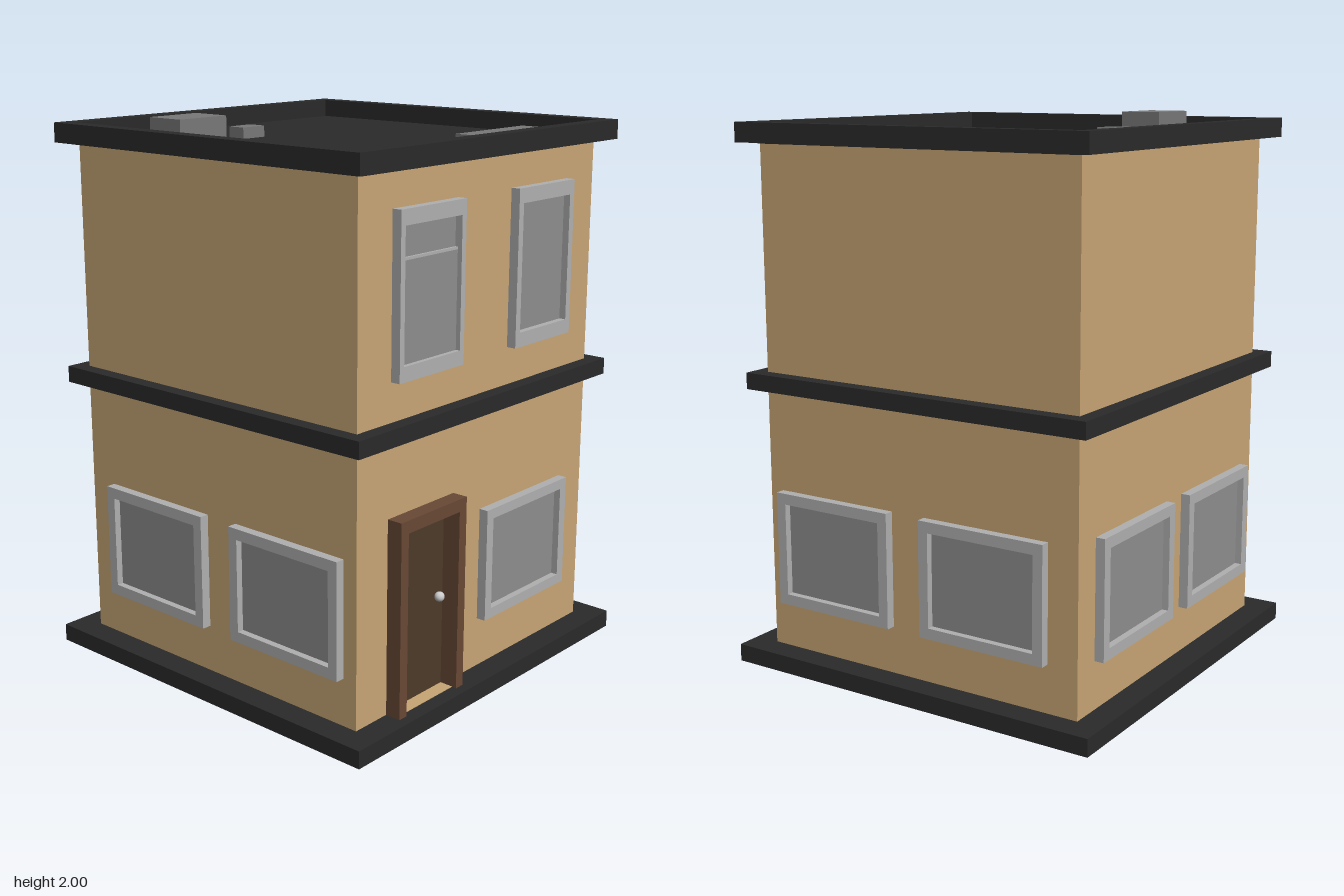
import * as THREE from 'three';

const mat = (color, side = THREE.FrontSide) => new THREE.MeshStandardMaterial({ color, side });
const WALL = mat(0xc8a675, THREE.DoubleSide);
const TRIM = mat(0x2a2a2a);
const FRAME = mat(0xb0b0b0);
const GLASS = mat(0x8e8e8e);
const VENT = mat(0x787878);
const DOOR_FRAME = mat(0x694936);
const DOOR = mat(0x4d3a29);
const KNOB = mat(0xcccccc);

const HALF = 0.65; // half width of the walls

function add(parent, name, geometry, material, x = 0, y = 0, z = 0) {
  const mesh = new THREE.Mesh(geometry, material);
  mesh.name = name;
  mesh.position.set(x, y, z);
  parent.add(mesh);
  return mesh;
}

// Box given by its minimum and maximum corners
function block(parent, name, material, [x0, y0, z0], [x1, y1, z1]) {
  const g = new THREE.BoxGeometry(x1 - x0, y1 - y0, z1 - z0);
  return add(parent, name, g, material, (x0 + x1) / 2, (y0 + y1) / 2, (z0 + z1) / 2);
}

function rect(x0, y0, x1, y1, Type = THREE.Shape) {
  const s = new Type();
  s.moveTo(x0, y0);
  s.lineTo(x1, y0);
  s.lineTo(x1, y1);
  s.lineTo(x0, y1);
  s.closePath();
  return s;
}

// Rectangular frame with an opening, extruded along z
function frameGeometry(w, h, tx, ty, depth) {
  const s = rect(-w / 2, -h / 2, w / 2, h / 2);
  s.holes.push(rect(-w / 2 + tx, -h / 2 + ty, w / 2 - tx, h / 2 - ty, THREE.Path));
  return new THREE.ExtrudeGeometry(s, { depth, bevelEnabled: false });
}

// Horizontal square band round the building
function band(parent, name, outer, inner, y0, y1) {
  const t = outer - inner;
  const g = frameGeometry(2 * outer, 2 * outer, t, t, y1 - y0).rotateX(-Math.PI / 2);
  return add(parent, name, g, TRIM, 0, y0, 0);
}

// Window on a wall plane: x is measured along the wall, z outwards
function windowUnit(side, x0, x1, y0, y1, tx, ty, split) {
  const g = new THREE.Group();
  g.name = 'window';
  const w = x1 - x0, h = y1 - y0;
  g.position.set((x0 + x1) / 2, (y0 + y1) / 2, HALF);
  add(g, 'windowFrame', frameGeometry(w, h, tx, ty, 0.05), FRAME, 0, 0, -0.015);
  const px = w / 2 - tx, py = h / 2 - ty;
  if (split === undefined) {
    block(g, 'windowPane', GLASS, [-px, -py, 0.001], [px, py, 0.01]);
  } else {
    // Two sashes, the lower one standing further forward
    const s = split - g.position.y;
    block(g, 'upperSash', GLASS, [-px, s, 0.001], [px, py, 0.008]);
    block(g, 'lowerSash', GLASS, [-px, -py, 0.001], [px, s - 0.006, 0.018]);
    block(g, 'sashRail', FRAME, [-px, s - 0.006, 0.001], [px, s + 0.003, 0.018]);
  }
  side.add(g);
}

function buildDoor() {
  const door = new THREE.Group();
  door.name = 'door';
  // Jambs and lintel in one outline, open at the bottom
  const s = new THREE.Shape();
  [[-0.495, 0], [-0.457, 0], [-0.457, 0.72], [-0.183, 0.72], [-0.183, 0],
    [-0.145, 0], [-0.145, 0.765], [-0.495, 0.765]]
    .forEach(([x, y], i) => (i ? s.lineTo(x, y) : s.moveTo(x, y)));
  s.closePath();
  add(door, 'doorFrame', new THREE.ExtrudeGeometry(s, { depth: 0.11, bevelEnabled: false }),
    DOOR_FRAME, 0, 0, 0.598);
  block(door, 'doorLeaf', DOOR, [-0.457, 0.05, 0.615], [-0.183, 0.72, 0.64]);
  block(door, 'doorSill', WALL, [-0.457, 0.055, 0.64], [-0.183, 0.067, 0.69]);
  add(door, 'doorKnob', new THREE.SphereGeometry(0.018, 16, 12), KNOB, -0.222, 0.41, 0.658);
  return door;
}

export function createModel() {
  const house = new THREE.Group();
  house.name = 'house';

  // Four thin walls; the front one is cut out for the door
  const sides = ['front', 'right', 'back', 'left'].map((name, i) => {
    const side = new THREE.Group();
    side.name = name + 'Side';
    side.rotation.y = i * Math.PI / 2;
    const shape = rect(-HALF, 0.03, HALF, 1.91);
    if (i === 0) shape.holes.push(rect(-0.475, 0.06, -0.165, 0.74, THREE.Path));
    add(side, 'wall', new THREE.ShapeGeometry(shape), WALL, 0, 0, HALF);
    house.add(side);
    return side;
  });
  const [front, plusX, back, minusX] = sides;

  // Plinth, storey band and roof with parapet
  band(house, 'plinth', 0.745, 0.645, 0.001, 0.065);
  band(house, 'storeyBand', 0.704, 0.645, 1.03, 1.09);
  band(house, 'parapet', 0.711, 0.655, 1.905, 1.975);
  block(house, 'roofDeck', TRIM, [-0.656, 1.9, -0.656], [0.656, 1.91, 0.656]);

  // Rooftop units
  block(house, 'roofUnit', VENT, [-0.535, 1.905, -0.403], [-0.315, 2.0, -0.25]);
  block(house, 'smallVent', VENT, [-0.222, 1.905, -0.33], [-0.115, 1.95, -0.26]);
  block(house, 'skylight', VENT, [0.187, 1.905, 0.378], [0.59, 1.94, 0.543]);

  // Front door and windows
  front.add(buildDoor());
  windowUnit(front, 0.01, 0.505, 0.25, 0.665, 0.037, 0.037);
  windowUnit(front, 0.147, 0.482, 1.225, 1.78, 0.026, 0.052);
  windowUnit(front, -0.485, -0.15, 1.225, 1.78, 0.022, 0.052, 1.62);

  // Ground-floor windows; the two flanks mirror each other
  for (const [a, b] of [[-0.595, -0.1], [0.037, 0.535]]) {
    windowUnit(plusX, a, b, 0.238, 0.658, 0.038, 0.04);
    windowUnit(minusX, -b, -a, 0.238, 0.658, 0.038, 0.04);
  }
  for (const x of [-0.293, 0.316]) {
    windowUnit(back, x - 0.248, x + 0.248, 0.238, 0.665, 0.038, 0.04);
  }
  return house;
}
